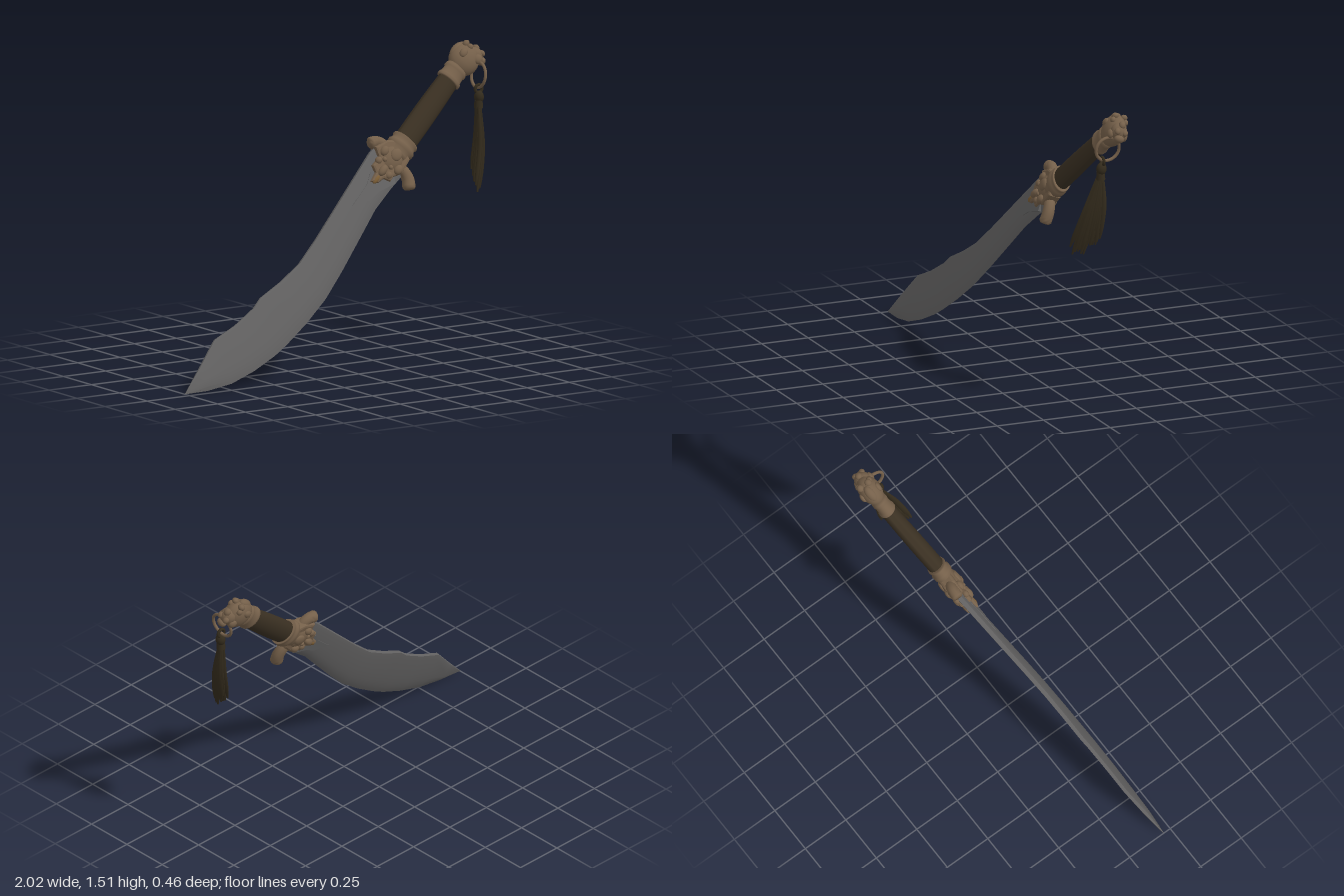
import * as THREE from 'three';
import { toCreasedNormals } from 'three/addons/utils/BufferGeometryUtils.js';

const V = (x, y, z = 0) => new THREE.Vector3(x, y, z);
const mat = (name, color) => Object.assign(new THREE.MeshStandardMaterial({ color }), { name });

export function createModel() {
  const steel = mat('blade steel', 0x636262);
  const bronze = mat('aged bronze', 0x75604a);
  const gold = mat('dull gold', 0x7c5e36);
  const leather = mat('dark grip leather', 0x3a3022);
  const cloth = mat('tassel cloth', 0x332b1c);

  const model = new THREE.Group();
  model.name = 'curvedSword';
  const sword = new THREE.Group();
  sword.name = 'sword';
  model.add(sword);

  // The sword lies in a tilted plane; local x runs along the grip, local z is the plane normal.
  const onPlane = (x, y) => V(x, y, 0.277 + 0.067 * x - 0.36 * y);
  const origin = onPlane(0.465, 1.043);
  const u = onPlane(0.81, 1.34).sub(origin).normalize();
  const n = V(-0.067, 0.36, 1).normalize();
  const v = n.clone().cross(u);
  const frame = new THREE.Matrix4().makeBasis(u, v, n).setPosition(origin);
  const inverse = frame.clone().invert();
  const flat = ([x, y]) => onPlane(x, y).applyMatrix4(inverse);
  sword.applyMatrix4(frame);

  const add = (parent, name, geometry, material) => {
    const mesh = new THREE.Mesh(geometry, material);
    mesh.name = name;
    parent.add(mesh);
    return mesh;
  };

  // Skin a list of closed rings, with a fan at each end
  function loft(rings, crease = 0.7) {
    const k = rings[0].length, pos = [], idx = [];
    rings.forEach(r => r.forEach(p => pos.push(p.x, p.y, p.z)));
    for (let i = 0; i < rings.length - 1; i++) {
      for (let j = 0; j < k; j++) {
        const a = i * k + j, b = i * k + (j + 1) % k;
        idx.push(a, b, b + k, a, b + k, a + k);
      }
    }
    [rings[0], rings.at(-1)].forEach((r, e) => {
      const c = r.reduce((s, p) => s.add(p), V(0, 0)).divideScalar(k);
      const ci = pos.length / 3, o = e ? (rings.length - 1) * k : 0;
      pos.push(c.x, c.y, c.z);
      for (let j = 0; j < k; j++) {
        const a = o + j, b = o + (j + 1) % k;
        e ? idx.push(ci, a, b) : idx.push(ci, b, a);
      }
    });
    const g = new THREE.BufferGeometry();
    g.setAttribute('position', new THREE.Float32BufferAttribute(pos, 3));
    g.setIndex(idx);
    return toCreasedNormals(g, crease);
  }

  // Sweep an ellipse along a curve; radii(t) gives [side, other]
  function sweep(points, radii, ref, steps = 12, sides = 12) {
    const curve = new THREE.CatmullRomCurve3(points), rings = [];
    for (let i = 0; i <= steps; i++) {
      const t = i / steps, c = curve.getPoint(t), d = curve.getTangent(t);
      const e1 = ref.clone().cross(d).normalize(), e2 = d.clone().cross(e1);
      const [r1, r2] = radii(t);
      rings.push(Array.from({ length: sides }, (_, j) => {
        const a = j / sides * Math.PI * 2;
        return c.clone().addScaledVector(e1, Math.cos(a) * r1).addScaledVector(e2, Math.sin(a) * r2);
      }));
    }
    return loft(rings, 1.0);
  }

  // Blade: pairs of spine and edge points from guard to tip
  const stations = [
    [.35, 1.08, .43, .90], [.28, 1.03, .36, .85], [.15, .905, .25, .76], [.01, .77, .13, .63],
    [-.11, .655, 0, .49], [-.23, .548, -.12, .37], [-.35, .475, -.25, .268], [-.48, .41, -.38, .18],
    [-.53, .365, -.46, .133], [-.65, .295, -.59, .073], [-.78, .238, -.73, .025],
    [-.89, .118, -.87, .004], [-1, .002, -.995, 0],
  ];
  const spine = stations.map(s => flat([s[0], s[1]]));
  const edge = stations.map(s => flat([s[2], s[3]]));
  // Section across the blade: [position from edge to spine, share of thickness]
  const section = [[0, .06], [.07, .4], [.16, .72], [.28, .92], [.45, 1], [.9, .9], [1, .65]];
  const rings = spine.map((s, i) => {
    const half = 0.018 - 0.007 * i / 12 - (i === 12 ? 0.009 : 0);
    const front = section.map(([f, h]) => edge[i].clone().lerp(s, f).setZ(h * half));
    const back = front.map(p => p.clone().setZ(-p.z)).reverse();
    return [...front, ...back];
  });
  add(sword, 'blade', loft(rings, 0.6), steel);

  // Extrude an outline given in front coordinates, centred on the sword's plane
  function plate(points, depth, bevel) {
    const shape = new THREE.Shape(points.map(p => { const q = flat(p); return new THREE.Vector2(q.x, q.y); }));
    return new THREE.ExtrudeGeometry(shape, {
      depth, bevelEnabled: bevel > 0, bevelSize: bevel, bevelThickness: bevel, bevelOffset: -bevel, bevelSegments: 2,
    }).translate(0, 0, -depth / 2);
  }
  add(sword, 'bladeRootPlate', plate([[.38, 1.0], [.25, .93], [.22, .88], [.12, .79], [.22, .805], [.28, .84], [.38, .87]], 0.038, 0), steel);

  // Guard: jagged mask, head and collar
  const guard = new THREE.Group();
  guard.name = 'guard';
  sword.add(guard);
  add(guard, 'maskPlate', plate([
    [.45, 1.07], [.37, 1.075], [.30, 1.05], [.31, 1.0], [.265, .965], [.275, .93], [.24, .89],
    [.28, .88], [.315, .897], [.35, .88], [.37, .90], [.42, .91], [.48, .97],
  ], 0.045, 0.012), bronze);

  const ball = (parent, name, p, r, material = bronze) => {
    const m = add(parent, name, new THREE.SphereGeometry(1, 16, 12), material);
    m.position.copy(p);
    m.scale.set(...r);
    return m;
  };
  ball(guard, 'guardHead', flat([.385, .99]), [.08, .078, .05]);
  // Facial lumps on both faces: [name, x, y, height, radii]
  const lumps = [
    ['brow', .345, 1.025, .034, [.028, .022, .018]], ['brow', .40, .93, .034, [.028, .022, .018]],
    ['cheek', .305, .985, .028, [.02, .018, .016]], ['cheek', .345, .91, .028, [.02, .018, .016]],
    ['nose', .315, .935, .033, [.034, .02, .02]], ['forehead', .40, 1.0, .044, [.035, .03, .014]],
    ['eye', .335, .985, .038, [.012, .012, .01]], ['eye', .36, .945, .038, [.012, .012, .01]],
  ];
  for (const side of [1, -1]) {
    for (const [name, x, y, h, r] of lumps) ball(guard, name, flat([x, y]).setZ(side * h), r);
    ball(guard, 'chin', flat([.275, .9]).setZ(side * .026), [.03, .014, .012], gold);
  }

  // Quillons curl forward above and backward below
  const horn = (name, pts, r) => add(guard, name,
    sweep(pts.map(flat), t => { const k = r * (0.85 + 0.25 * t) * (t > 0.95 ? 0.7 : 1); return [k, k * 0.95]; }, V(0, 0, 1), 16, 14), bronze);
  horn('upperQuillon', [[.385, 1.01], [.365, 1.055], [.33, 1.075], [.285, 1.07]], .029);
  horn('lowerQuillon', [[.39, .95], [.44, .93], [.462, .89], [.46, .835]], .031);

  // Ring-shaped fittings turned about the grip axis
  const fitting = (name, profile) => add(sword, name,
    new THREE.LatheGeometry(profile.map(p => new THREE.Vector2(p[1], p[0])), 32).rotateZ(-Math.PI / 2).scale(1, 1, .68), bronze);
  fitting('lowerCollar', [[-.08, 0], [-.08, .062], [-.05, .068], [-.03, .066], [-.025, .076], [-.005, .078], [0, .07], [.02, .068], [.026, .074], [.036, .072], [.04, 0]]);
  fitting('upperCollar', [[.43, 0], [.43, .06], [.435, .066], [.45, .066], [.455, .06], [.49, .057], [.495, .063], [.51, .062], [.53, .05], [.53, 0]]);

  add(sword, 'grip', sweep([V(.02, 0), V(.23, 0), V(.45, 0)],
    t => { const k = .061 - .006 * t + .003 * Math.sin(t * Math.PI); return [k, k * .7]; }, V(0, 0, 1), 16, 28), leather);

  // Pommel: beast head with a knobbly muzzle
  const pommel = new THREE.Group();
  pommel.name = 'pommel';
  sword.add(pommel);
  ball(pommel, 'pommelHead', V(.58, -.004), [.086, .08, .056]);
  ball(pommel, 'crest', V(.59, .055), [.05, .026, .026]);
  ball(pommel, 'muzzle', V(.635, -.035), [.042, .045, .042]);
  ball(pommel, 'nose', V(.672, -.02), [.017, .02, .018]);
  ball(pommel, 'jaw', V(.638, -.082), [.022, .02, .026]);
  for (const side of [1, -1]) {
    ball(pommel, 'ear', V(.585, .03, side * .046), [.026, .02, .014]);
    ball(pommel, 'eye', V(.64, .018, side * .034), [.016, .016, .014]);
    ball(pommel, 'brow', V(.642, .042, side * .024), [.02, .016, .018]);
    ball(pommel, 'cheek', V(.615, -.05, side * .038), [.026, .024, .016]);
    ball(pommel, 'lip', V(.662, -.055, side * .02), [.015, .018, .016]);
  }

  // Hanging ring
  const ring = add(model, 'ring', new THREE.TorusGeometry(.062, .008, 10, 40), bronze);
  ring.position.set(.951, 1.338, -.117);
  ring.quaternion.setFromUnitVectors(V(0, 0, 1), V(1, -.16, 0).normalize());

  // Tassel: loop, knot and a fan of ragged strands
  const tassel = new THREE.Group();
  tassel.name = 'tassel';
  model.add(tassel);
  const loop = add(tassel, 'loop', new THREE.TorusGeometry(.02, .008, 8, 20), cloth);
  loop.position.set(.937, 1.275, -.095);
  ball(tassel, 'knot', V(.936, 1.235, -.09), [.024, .032, .026], cloth);
  const band = add(tassel, 'band', new THREE.CylinderGeometry(.02, .023, .04, 14), cloth);
  band.position.set(.932, 1.2, -.088);

  let seed = 7;
  const rand = () => (seed = (seed * 16807) % 2147483647) / 2147483647;
  const count = 22;
  for (let i = 0; i < count; i++) {
    const f = i / (count - 1), jitter = rand() - .5;
    const end = V(.853 + .06 * f + jitter * .035, .775 + .085 * f * f + rand() * .05, .035 - .135 * f);
    const top = V(.932 + jitter * .016, 1.2, -.078 - .02 * f);
    const mid = top.clone().lerp(end, .5).add(V(.014, 0, (f - .4) * -.012));
    const geometry = sweep([top, mid, end],
      t => { const k = .007 + .007 * Math.sin(Math.min(t * 1.3, 1) * Math.PI * .6) - (t > .85 ? (t - .85) * .06 : 0); return [k, k * .8]; },
      V(1, 0, 0), 10, 6);
    add(tassel, 'strand', geometry, cloth);
  }
  return model;
}
